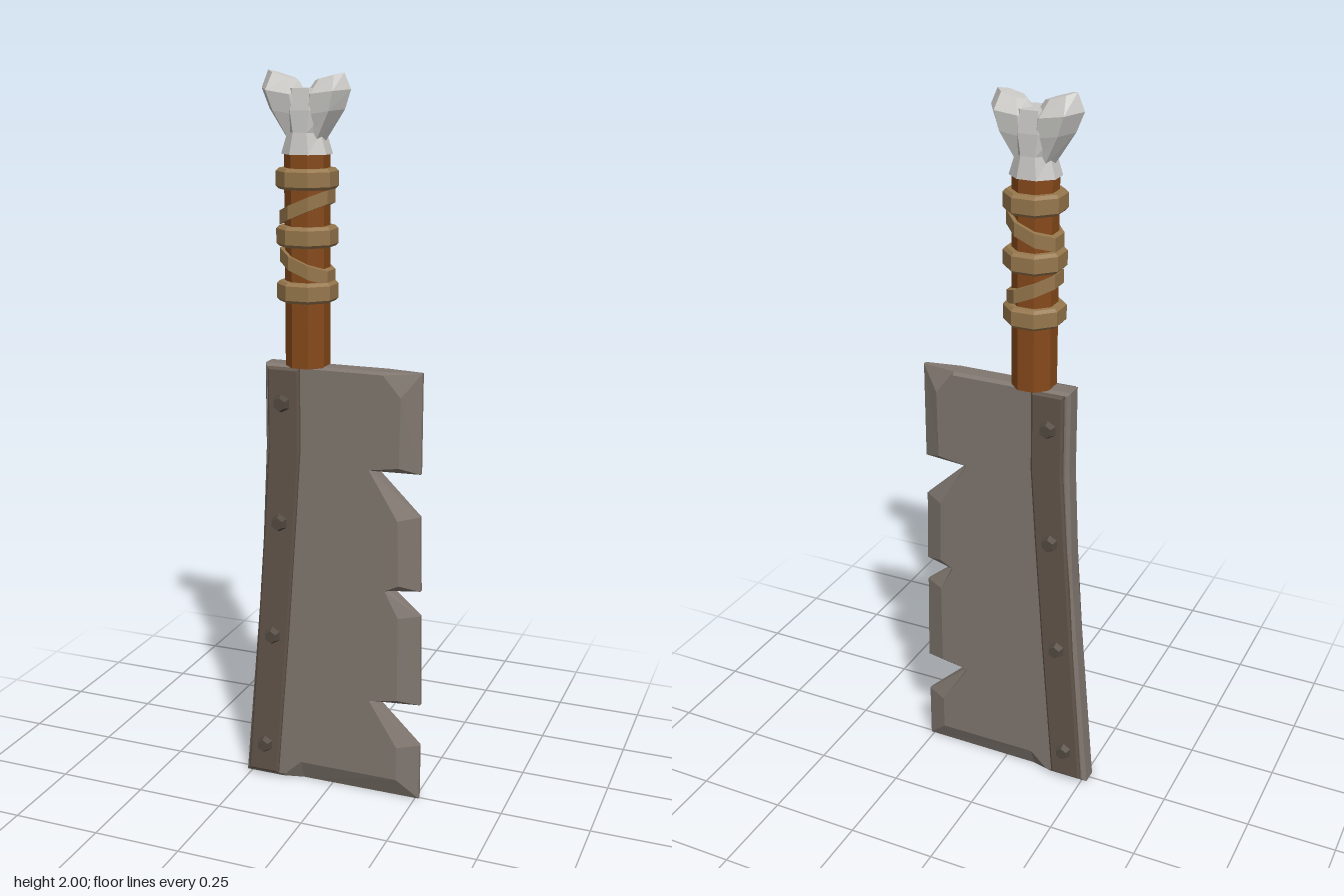
import * as THREE from 'three';

const mat = (name, color) => Object.assign(new THREE.MeshStandardMaterial({ color, flatShading: true }), { name });

// Unshared triangles, so every facet stays flat
function facets(tris) {
  const g = new THREE.BufferGeometry();
  g.setAttribute('position', new THREE.Float32BufferAttribute(tris.flat(2), 3));
  g.computeVertexNormals();
  return g;
}

// Closed loft through rings [cx, cy, rx, rz, tilt]
function loft(rings, n, turn = 0) {
  const pts = rings.map(([cx, cy, rx, rz, tilt = 0]) => Array.from({ length: n }, (_, i) => {
    const a = turn + (i / n) * Math.PI * 2, dx = Math.cos(a) * rx;
    return [cx + dx, cy + dx * tilt, Math.sin(a) * rz];
  }));
  const mid = (r) => [r[0], r[1], 0];
  const tris = [];
  for (let i = 0; i < n; i++) {
    const j = (i + 1) % n;
    for (let k = 0; k + 1 < pts.length; k++) {
      const b = pts[k], t = pts[k + 1];
      tris.push([b[i], t[i], b[j]], [t[i], t[j], b[j]]);
    }
    tris.push([mid(rings[0]), pts[0][i], pts[0][j]]);
    tris.push([mid(rings.at(-1)), pts.at(-1)[j], pts.at(-1)[i]]);
  }
  return facets(tris);
}

// Blade: an outer edge loop and an inset face loop, joined by bevels.
// Each row: outer x, y, half thickness of the edge, inset x, y
const HALF = 0.033;
const BLADE = [
  [-0.265, 0, 0.022, -0.255, 0.012],
  [-0.15, 0, 0.022, -0.14, 0.012],
  [-0.09, 0, 0.008, -0.09, 0.06],
  [0.26, 0, 0.006, 0.2, 0.06],
  [0.26, 0.165, 0.006, 0.2, 0.16],
  [0.125, 0.285, 0.018, 0.118, 0.29],
  [0.26, 0.29, 0.006, 0.2, 0.305],
  [0.255, 0.555, 0.006, 0.2, 0.55],
  [0.17, 0.622, 0.016, 0.16, 0.625],
  [0.255, 0.628, 0.006, 0.2, 0.645],
  [0.25, 0.84, 0.006, 0.195, 0.83],
  [0.12, 0.96, 0.018, 0.112, 0.965],
  [0.25, 0.96, 0.006, 0.197, 0.978],
  [0.25, 1.235, 0.006, 0.2, 1.17],
  [0.15, 1.235, 0.022, 0.15, 1.228],
  [-0.19, 1.235, 0.022, -0.183, 1.228],
  [-0.19, 1.0, 0.022, -0.182, 1.0],
  [-0.207, 0.65, 0.022, -0.198, 0.65],
];

function bladeGeometry() {
  const tris = [];
  const quad = (a, b, c, d) => tris.push([a, b, c], [a, c, d]);
  const edge = (r, s) => [r[0], r[1], s * r[2]];
  const face = (r, s) => [r[3], r[4], s * HALF];
  BLADE.forEach((p, i) => {
    const q = BLADE[(i + 1) % BLADE.length];
    quad(edge(p, -1), edge(q, -1), edge(q, 1), edge(p, 1));
    quad(edge(p, 1), edge(q, 1), face(q, 1), face(p, 1));
    quad(face(p, -1), face(q, -1), edge(q, -1), edge(p, -1));
  });
  const inset = BLADE.map((r) => new THREE.Vector2(r[3], r[4]));
  for (const f of THREE.ShapeUtils.triangulateShape(inset, [])) {
    const ccw = THREE.ShapeUtils.area(f.map((i) => inset[i])) > 0 ? f : [...f].reverse();
    tris.push(ccw.map((i) => face(BLADE[i], 1)));
    tris.push([...ccw].reverse().map((i) => face(BLADE[i], -1)));
  }
  return facets(tris);
}

export function createModel() {
  const steel = mat('steel', 0x80776f);
  const iron = mat('dark iron', 0x61544a);
  const boltIron = mat('bolt iron', 0x524940);
  const wood = mat('wood', 0x85491a);
  const cord = mat('cord', 0x96774c);
  const bone = mat('bone', 0xc9c8c5);

  const model = new THREE.Group();
  model.name = 'cleaver';
  const add = (name, geometry, material, parent = model) => {
    const m = new THREE.Mesh(geometry, material);
    m.name = name;
    parent.add(m);
    return m;
  };

  add('blade', bladeGeometry(), steel);

  // Reinforcing plates along the spine, one on each face
  const line = [[-0.205, 0.022], [-0.17, 0.45], [-0.145, 0.79], [-0.131, 1.0], [-0.131, 1.222]];
  const w = 0.04;
  const outline = [...line.map(([x, y]) => [x + w, y]), ...line.map(([x, y]) => [x - w, y]).reverse()];
  const plate = new THREE.ExtrudeGeometry(new THREE.Shape(outline.map(([x, y]) => new THREE.Vector2(x, y))), {
    depth: 0.014, bevelEnabled: true, bevelThickness: 0.005, bevelSize: 0.006, bevelSegments: 1,
  });
  const bolt = new THREE.CylinderGeometry(0.018, 0.026, 0.018, 6).rotateX(Math.PI / 2);
  for (const [side, turn] of [['front', 0], ['back', Math.PI]]) {
    const g = new THREE.Group();
    g.name = side + 'SpinePlate';
    const p = add(side + 'Plate', plate, iron, g);
    p.position.z = turn ? -0.045 : 0.026;
    if (turn) p.position.z = -0.04;
    for (const [x, y] of [[-0.135, 1.13], [-0.145, 0.79], [-0.17, 0.45], [-0.198, 0.105]]) {
      const b = add(side + 'Bolt', bolt, boltIron, g);
      b.position.set(x, y, turn ? -0.053 : 0.053);
      b.rotation.y = turn;
    }
    model.add(g);
  }

  // Eight-sided wooden grip
  const cx = -0.075, r = 0.06, turn8 = Math.PI / 8;
  add('grip', loft([[cx, 1.232, r, r], [cx, 1.8, r, r]], 8, turn8), wood);

  // Level cord rings, with slanting wraps between them
  for (const y of [1.435, 1.58, 1.728]) {
    add('cordRing', loft([
      [cx, y - 0.027, 0.074, 0.074], [cx, y - 0.019, 0.082, 0.082],
      [cx, y + 0.019, 0.082, 0.082], [cx, y + 0.027, 0.074, 0.074],
    ], 8, turn8), cord);
  }
  for (const [y, tilt] of [[1.502, -0.42], [1.655, 0.42]]) {
    add('slantedCord', loft([
      [cx, y - 0.018, 0.073, 0.073, tilt], [cx, y + 0.018, 0.073, 0.073, tilt],
    ], 8, turn8), cord);
  }

  // Bone pommel: a flared collar and two knuckles leaning apart
  const pommel = new THREE.Group();
  pommel.name = 'bonePommel';
  add('boneCollar', loft([
    [cx, 1.79, 0.068, 0.062], [cx, 1.845, 0.05, 0.054], [cx, 1.9, 0.07, 0.054], [cx, 1.955, 0.06, 0.046],
  ], 8, turn8), bone, pommel);
  add('rightKnuckle', loft([
    [-0.095, 1.82, 0.03, 0.035], [-0.122, 1.895, 0.058, 0.054, -0.15],
    [-0.136, 1.945, 0.065, 0.06, -0.15], [-0.14, 1.987, 0.042, 0.026, -0.3],
  ], 6), bone, pommel);
  add('leftKnuckle', loft([
    [-0.055, 1.82, 0.03, 0.035], [-0.025, 1.895, 0.055, 0.054, 0.15],
    [-0.016, 1.945, 0.062, 0.058, 0.12], [-0.012, 1.983, 0.04, 0.027, 0.25],
  ], 6), bone, pommel);
  model.add(pommel);

  return model;
}
